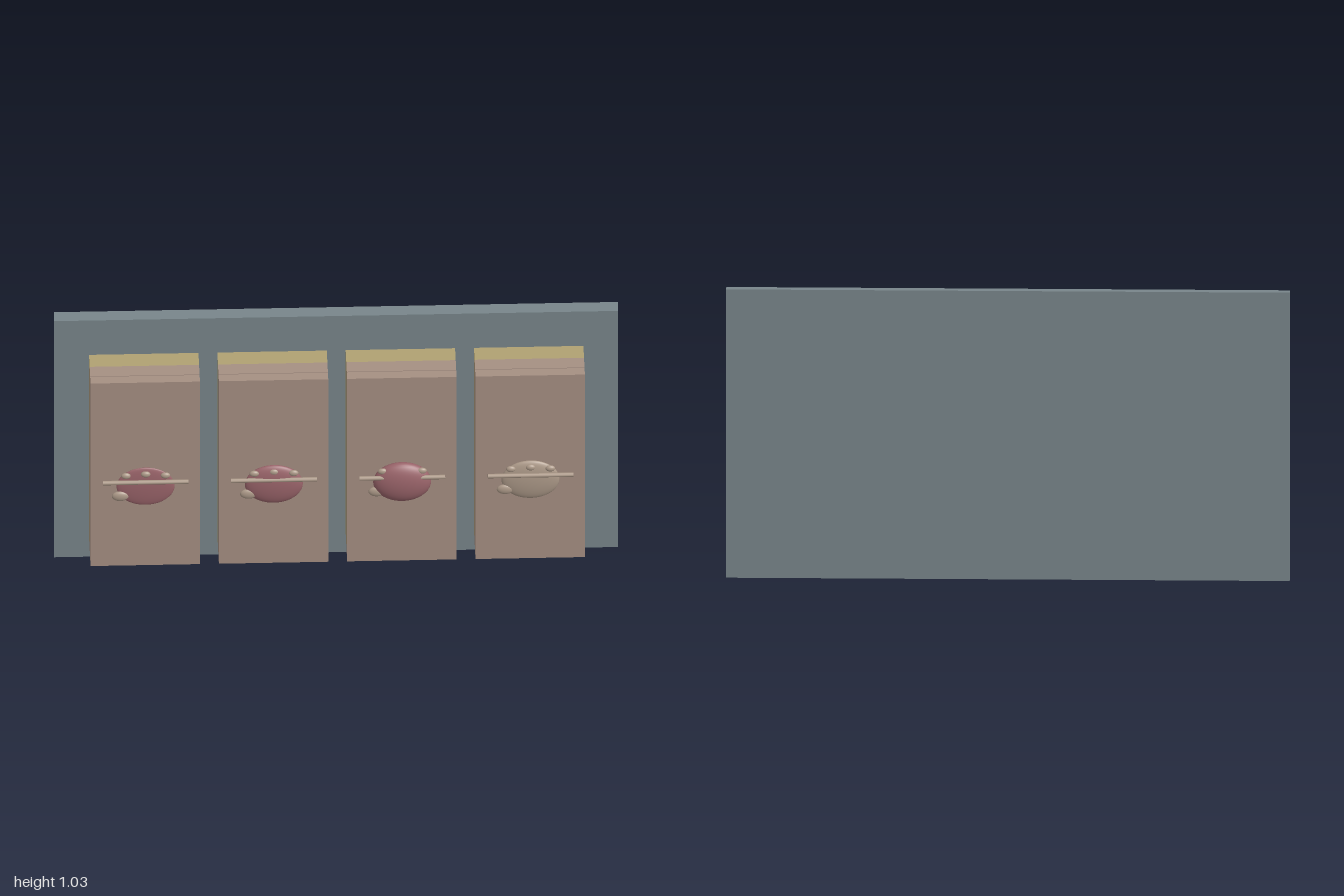
import * as THREE from 'three';

export function createModel() {
  const model = new THREE.Group();
  model.name = 'samplePanel';

  const material = (name, color) => {
    const m = new THREE.MeshStandardMaterial({ color });
    m.name = name;
    return m;
  };
  const slate = material('slate grey', 0x78858a);
  const skin = material('beige', 0xa58f82);
  const fat = material('straw yellow', 0xb0a172);
  const rose = material('dusty rose', 0x9a646a);
  const sand = material('sand', 0xac9988);

  const add = (parent, name, geometry, mat, x, y, z) => {
    const mesh = new THREE.Mesh(geometry, mat);
    mesh.name = name;
    mesh.position.set(x, y, z);
    parent.add(mesh);
    return mesh;
  };
  // Box layer between two depths
  const layer = (parent, name, mat, w, y0, y1, z0, z1) =>
    add(parent, name, new THREE.BoxGeometry(w, y1 - y0, z1 - z0), mat, 0, (y0 + y1) / 2, (z0 + z1) / 2);
  // Flattened smooth ball
  const ball = (parent, name, mat, x, y, z, rx, ry, rz) =>
    add(parent, name, new THREE.SphereGeometry(1, 32, 20), mat, x, y, z).scale.set(rx, ry, rz);

  layer(model, 'backPlate', slate, 2, 0, 1.035, -0.172, -0.118);

  // Four layered blocks; only the central mound differs
  const mounds = [
    { depth: 0.012, mat: rose },
    { depth: 0.023, mat: rose },
    { depth: 0.037, mat: rose },
    { depth: 0.019, mat: sand },
  ];
  mounds.forEach(({ depth, mat }, i) => {
    const block = new THREE.Group();
    block.name = 'block' + (i + 1);
    block.position.x = -0.684 + i * 0.455;
    model.add(block);

    layer(block, 'rearLayer', fat, 0.388, 0.118, 0.918, -0.072, 0);
    layer(block, 'middleLayer', skin, 0.388, 0.118, 0.918, 0, 0.058);
    layer(block, 'frontLayer', skin, 0.388, 0.118, 0.918, 0.061, 0.101);

    ball(block, 'mound', mat, 0, 0.488, 0.134, 0.103, 0.081, depth);
    ball(block, 'sideKnob', sand, -0.09, 0.45, 0.139, 0.03, 0.02, 0.011);
    for (const s of [-1, 0, 1]) {
      ball(block, 'bead', sand, s * 0.07, s ? 0.541 : 0.547, 0.144, 0.017, 0.012, 0.009);
    }

    // Thin bar across the mound
    const bar = add(block, 'crossBar', new THREE.CylinderGeometry(0.008, 0.008, 0.304, 12), sand, 0, 0.517, 0.151);
    bar.rotation.z = Math.PI / 2;
  });

  return model;
}
